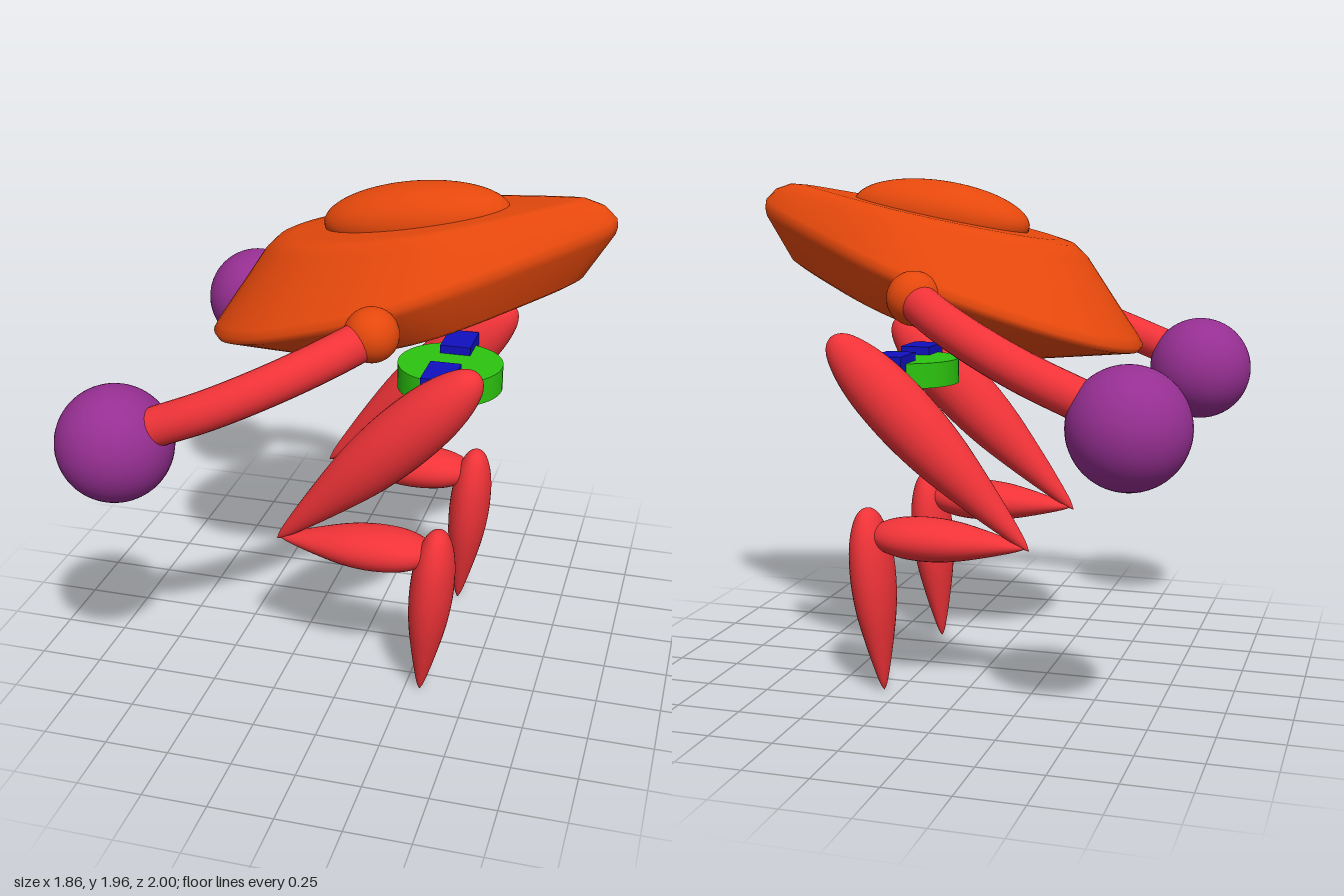
import * as THREE from 'three';

const paint = (color) => new THREE.MeshStandardMaterial({ color, side: THREE.DoubleSide });
const orange = paint(0xe5480c);
const red = paint(0xf03338);
const purple = paint(0x962f92);
const green = paint(0x2cc40f);
const blue = paint(0x1010c0);

function add(parent, name, geometry, material, x = 0, y = 0, z = 0) {
  const mesh = new THREE.Mesh(geometry, material);
  mesh.name = name;
  mesh.position.set(x, y, z);
  parent.add(mesh);
  return mesh;
}

// Teardrop hull: one outline swept through rings given as [rearX, rearY, noseX, noseY, halfWidth]
function hullGeometry() {
  const half = [[-0.975, 0.24], [-0.86, 0.57], [-0.6, 0.86], [-0.2, 1], [0.06, 0.965],
    [0.32, 0.8], [0.58, 0.55], [0.84, 0.27], [0.97, 0.1]];
  const outline = new THREE.CatmullRomCurve3([
    [-1, 0], ...half, [1, 0], ...half.map(([x, z]) => [x, -z]).reverse(),
  ].map(([x, z]) => new THREE.Vector3(x, 0, z)), true);
  const rings = [
    [0.29, 1.453, 0.29, 1.453, 0],
    [-0.2, 1.287, 0.77, 1.618, 0.31],
    [-0.25, 1.283, 0.81, 1.645, 0.335],
    [-0.6, 1.315, 0.918, 1.82, 0.452],
    [-0.615, 1.335, 0.925, 1.85, 0.457],
    [-0.595, 1.37, 0.92, 1.88, 0.446],
    [-0.4, 1.665, 0.875, 1.922, 0.31],
    [-0.35, 1.715, 0.81, 1.942, 0.27],
    [-0.29, 1.735, 0.75, 1.938, 0.235],
    [0.23, 1.836, 0.23, 1.836, 0],
  ];
  const n = 72;
  const loop = outline.getSpacedPoints(n).slice(0, n);
  const positions = [];
  const index = [];
  rings.forEach(([xa, ya, xb, yb, w], i) => loop.forEach((p, j) => {
    const t = (p.x + 1) / 2;
    positions.push(xa + (xb - xa) * t, ya + (yb - ya) * t, p.z * w);
    if (i === 0) return;
    const a = (i - 1) * n + j, b = (i - 1) * n + (j + 1) % n;
    index.push(a, b, b + n, a, b + n, a + n);
  }));
  const g = new THREE.BufferGeometry();
  g.setAttribute('position', new THREE.Float32BufferAttribute(positions, 3));
  g.setIndex(index);
  g.computeVertexNormals();
  return g;
}

// Unit limb: pointed at y = 0, blunt at y = 1
const limbProfile = new THREE.SplineCurve([[0, 0], [0.16, 0.04], [0.38, 0.14], [0.64, 0.28],
  [0.86, 0.42], [0.97, 0.54], [1, 0.65], [0.95, 0.77], [0.8, 0.87], [0.55, 0.95], [0.28, 0.988],
  [0, 1]].map(([r, y]) => new THREE.Vector2(r, y))).getPoints(36)
  .map((p) => new THREE.Vector2(Math.max(p.x, 0), p.y));
const limbGeometry = new THREE.LatheGeometry(limbProfile, 32);

function limb(parent, name, tip, end, thickness, width) {
  const dx = end[0] - tip[0], dy = end[1] - tip[1];
  const mesh = add(parent, name, limbGeometry, red, tip[0], tip[1], 0);
  mesh.scale.set(thickness, Math.hypot(dx, dy), width);
  mesh.rotation.z = Math.atan2(-dx, dy);
}

export function createModel() {
  const model = new THREE.Group();

  // Hull and canopy
  add(model, 'hull', hullGeometry(), orange, 0, 0, -0.022);
  const canopy = add(model, 'canopy', new THREE.SphereGeometry(1, 48, 32), orange, 0.182, 1.826, -0.024);
  canopy.scale.set(0.357, 0.129, 0.169);
  canopy.rotation.z = 0.14;

  // Hip turntable
  add(model, 'hipDisc', new THREE.CylinderGeometry(0.203, 0.203, 0.098, 48), green, 0.327, 1.212, -0.012);

  for (const side of [1, -1]) {
    const label = side > 0 ? 'right' : 'left';

    // Hip bracket
    add(model, label + 'HipBracket', new THREE.BoxGeometry(0.12, 0.157, 0.172), blue,
      0.327, 1.215, -0.012 + side * 0.168);

    // Three-segment leg
    const leg = new THREE.Group();
    leg.name = label + 'Leg';
    leg.position.z = -0.01 + side * 0.36;
    limb(leg, 'thigh', [-0.27, 0.597], [0.51, 1.375], 0.122, 0.12);
    limb(leg, 'shin', [-0.26, 0.61], [0.355, 0.62], 0.083, 0.116);
    limb(leg, 'foot', [0.31, 0], [0.375, 0.724], 0.084, 0.115);
    model.add(leg);

    // Curved arm with ball shoulder and ball hand
    const arm = new THREE.Group();
    arm.name = label + 'Arm';
    add(arm, 'shoulder', new THREE.SphereGeometry(0.1, 32, 24), orange, 0.142, 1.538, side * 0.467);
    const path = new THREE.CatmullRomCurve3([
      [0.14, 1.535, 0.47], [0, 1.475, 0.6], [-0.18, 1.4, 0.715], [-0.37, 1.32, 0.78], [-0.56, 1.243, 0.798],
    ].map(([x, y, z]) => new THREE.Vector3(x, y, z * side)));
    add(arm, 'forearm', new THREE.TubeGeometry(path, 40, 0.073, 24), red);
    add(arm, 'hand', new THREE.SphereGeometry(0.214, 48, 32), purple, -0.72, 1.155, side * 0.784);
    model.add(arm);
  }
  return model;
}
